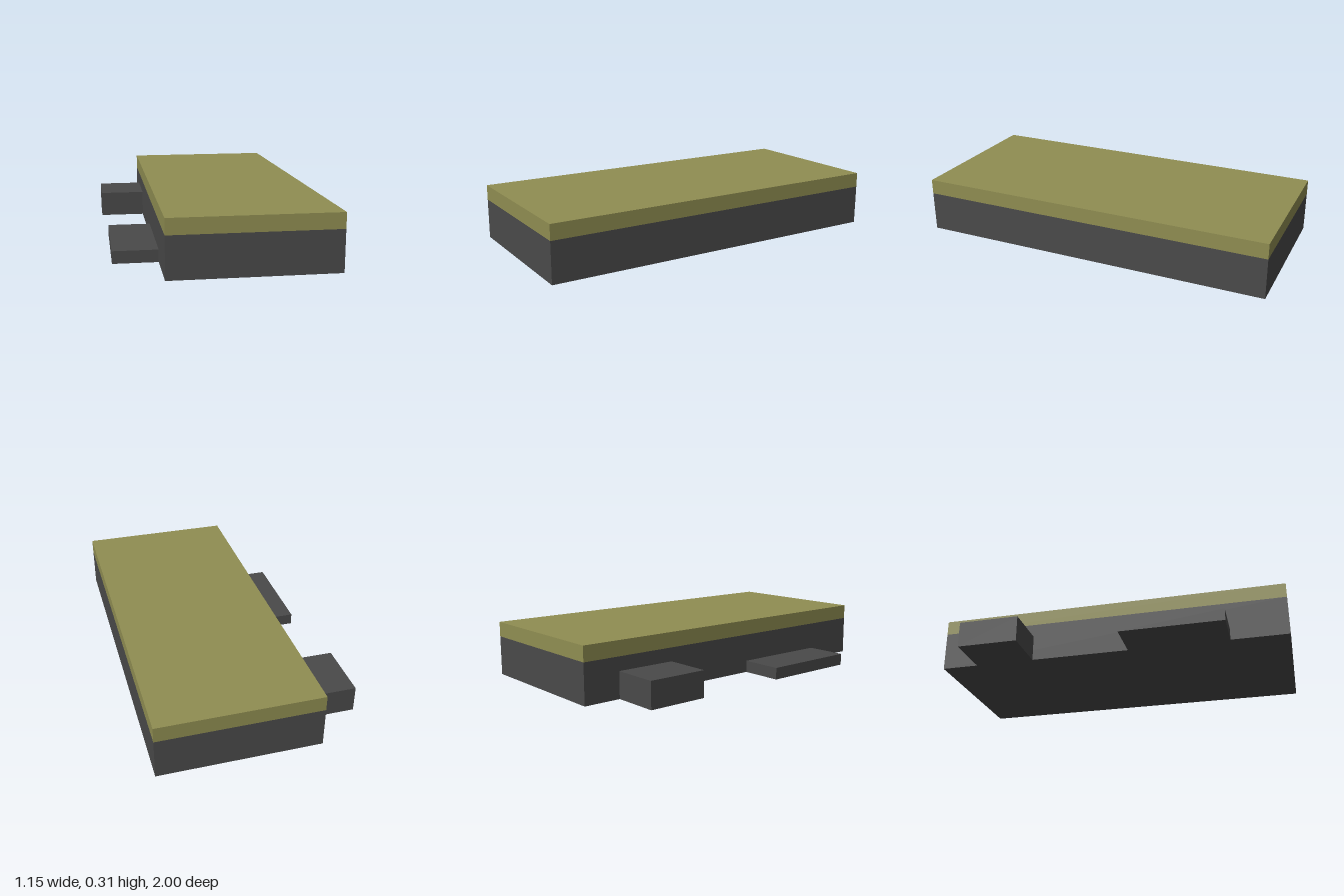
import * as THREE from 'three';

export function createModel() {
  const model = new THREE.Group();
  const darkGrey = new THREE.MeshStandardMaterial({ color: 0x4a4a4a });
  darkGrey.name = 'dark grey';
  const olive = new THREE.MeshStandardMaterial({ color: 0x908e52 });
  olive.name = 'olive';

  // Box given by its extents along each axis
  function block(name, material, [x0, x1], [y0, y1], [z0, z1]) {
    const mesh = new THREE.Mesh(new THREE.BoxGeometry(x1 - x0, y1 - y0, z1 - z0), material);
    mesh.position.set((x0 + x1) / 2, (y0 + y1) / 2, (z0 + z1) / 2);
    mesh.name = name;
    model.add(mesh);
  }

  // Main platform and its top layer
  block('platformBase', darkGrey, [-0.31, 0.575], [0, 0.223], [-1, 1]);
  block('platformTop', olive, [-0.31, 0.575], [0.223, 0.307], [-1, 1]);

  // Two steps against the side
  block('tallStep', darkGrey, [-0.575, -0.31], [0, 0.147], [-0.79, -0.45]);
  block('lowStep', darkGrey, [-0.55, -0.31], [0, 0.067], [0.11, 0.68]);

  return model;
}
